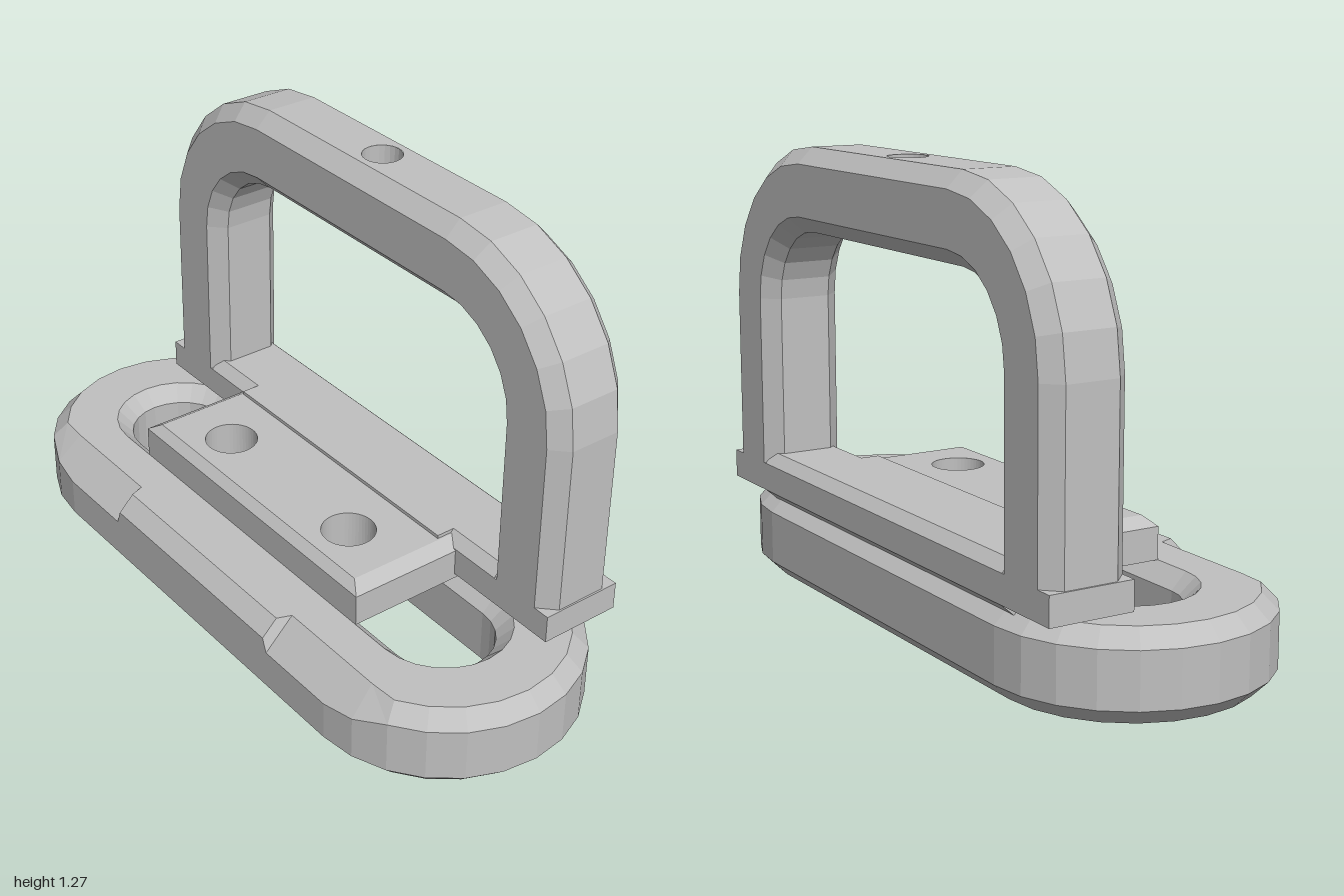
import * as THREE from 'three';

const steel = new THREE.MeshStandardMaterial({ color: 0xc0c0c0 });
steel.name = 'steelGrey';

// Faceted skin through a list of equal cross-section loops
function skin(sections, closed, skip = () => false) {
  const pos = [];
  const n = sections[0].length;
  const count = closed ? sections.length : sections.length - 1;
  for (let i = 0; i < count; i++) {
    const s = sections[i], t = sections[(i + 1) % sections.length];
    for (let j = 0; j < n; j++) {
      if (skip(i, j)) continue;
      const k = (j + 1) % n;
      pos.push(...s[j], ...s[k], ...t[k], ...s[j], ...t[k], ...t[j]);
    }
  }
  const g = new THREE.BufferGeometry();
  g.setAttribute('position', new THREE.Float32BufferAttribute(pos, 3));
  g.computeVertexNormals();
  return g;
}

function rectShape(x0, y0, x1, y1) {
  return new THREE.Shape([[x0, y0], [x1, y0], [x1, y1], [x0, y1]].map(p => new THREE.Vector2(...p)));
}

function addHole(shape, x, y, r) {
  const hole = new THREE.Path();
  hole.absarc(x, y, r, 0, Math.PI * 2, true);
  shape.holes.push(hole);
}

// Oval base ring with chamfered edges and two deeper cuts along the front
function baseRing() {
  const profile = [[0.34, 0], [0.385, 0.045], [0.385, 0.195], [0.34, 0.24],
    [0.19, 0.24], [0.145, 0.195], [0.145, 0.045], [0.19, 0]];
  const section = (cx, deg, cut) => profile.map(([r, y], j) => {
    const a = THREE.MathUtils.degToRad(deg);
    const x = cx + r * Math.cos(a);
    let z = r * Math.sin(a);
    if (cut && j === 2) y = Math.min(y, 0.54 - z);
    if (cut && j === 3) z = Math.min(z, 0.3);
    return [x, y, z];
  });
  const sections = [];
  for (let d = -90; d <= 90; d += 15) sections.push(section(0.615, d, true));
  sections.push(section(0.365, 90, true), section(0.35, 90, false),
    section(-0.35, 90, false), section(-0.365, 90, true));
  for (let d = 90; d <= 270; d += 15) sections.push(section(-0.615, d, true));
  return skin(sections, true);
}

// Upright arch; its flat top strip is left open for the drilled face
function archLoop() {
  const profile = [[0.45, -0.19], [0.45, -0.34], [0.405, -0.385], [0.26, -0.385],
    [0.215, -0.34], [0.215, -0.19], [0.26, -0.145], [0.405, -0.145]];
  const section = (cx, cy, deg) => {
    const a = THREE.MathUtils.degToRad(deg);
    return profile.map(([r, z]) => [cx + r * Math.cos(a), cy + r * Math.sin(a), z]);
  };
  const sections = [section(0.4, 0.29, 0)];
  for (let d = 0; d <= 90; d += 15) sections.push(section(0.4, 0.82, d));
  const topIndex = sections.length - 1;
  for (let d = 90; d <= 180; d += 15) sections.push(section(-0.4, 0.82, d));
  sections.push(section(-0.4, 0.29, 180));
  return skin(sections, false, (i, j) => i === topIndex && j === 0);
}

// Mounting plate: extruded upward, then its top outer edge is drawn in as a chamfer
function mountingPlate() {
  const shape = rectShape(-0.495, -0.19, 0.495, 0.2);
  for (const s of [-1, 1]) addHole(shape, s * 0.275, -0.045, 0.075);
  const g = new THREE.ExtrudeGeometry(shape, { depth: 1, steps: 2, bevelEnabled: false, curveSegments: 24 });
  g.rotateX(-Math.PI / 2);
  const p = g.attributes.position;
  for (let i = 0; i < p.count; i++) {
    const level = Math.round(p.getY(i) * 2);
    p.setY(i, [0.24, 0.33, 0.355][level]);
    if (level === 2) {
      if (Math.abs(p.getX(i)) > 0.49) p.setX(i, Math.sign(p.getX(i)) * 0.455);
      if (p.getZ(i) > 0.18) p.setZ(i, 0.165);
    }
  }
  g.computeVertexNormals();
  return g;
}

// Chamfered ridge running between the legs, profile in (z, y)
function crossRidge() {
  const outline = [[-0.385, 0.255], [-0.345, 0.22], [-0.185, 0.22], [-0.145, 0.255],
    [-0.145, 0.335], [-0.175, 0.365], [-0.355, 0.365], [-0.385, 0.335]];
  const shape = new THREE.Shape(outline.map(([z, y]) => new THREE.Vector2(-z, y)));
  const g = new THREE.ExtrudeGeometry(shape, { depth: 1.3, bevelEnabled: false });
  g.translate(0, 0, -0.65);
  g.rotateY(Math.PI / 2);
  return g;
}

export function createModel() {
  const model = new THREE.Group();
  model.name = 'mountedHandle';
  const add = (name, geometry, x = 0, y = 0, z = 0) => {
    const mesh = new THREE.Mesh(geometry, steel);
    mesh.name = name;
    mesh.position.set(x, y, z);
    model.add(mesh);
  };

  add('baseRing', baseRing());
  add('mountingPlate', mountingPlate());
  add('plateStep', new THREE.BoxGeometry(0.9, 0.05, 0.08), 0, 0.34, -0.16);
  add('crossBar', new THREE.BoxGeometry(1.71, 0.08, 0.24), 0, 0.295, -0.265);
  add('crossRidge', crossRidge());
  add('archLoop', archLoop());

  // Drilled face on top of the arch, with a blind hole
  const face = rectShape(-0.4, 0.19, 0.4, 0.34);
  addHole(face, 0, 0.265, 0.055);
  add('archTopFace', new THREE.ShapeGeometry(face, 24).rotateX(-Math.PI / 2), 0, 1.27, 0);
  const pocket = new THREE.LatheGeometry(
    [[0.055, 0], [0.055, -0.08], [0, -0.08]].map(p => new THREE.Vector2(...p)), 24).toNonIndexed();
  pocket.computeVertexNormals();
  add('archTopHole', pocket, 0, 1.27, -0.265);

  return model;
}
